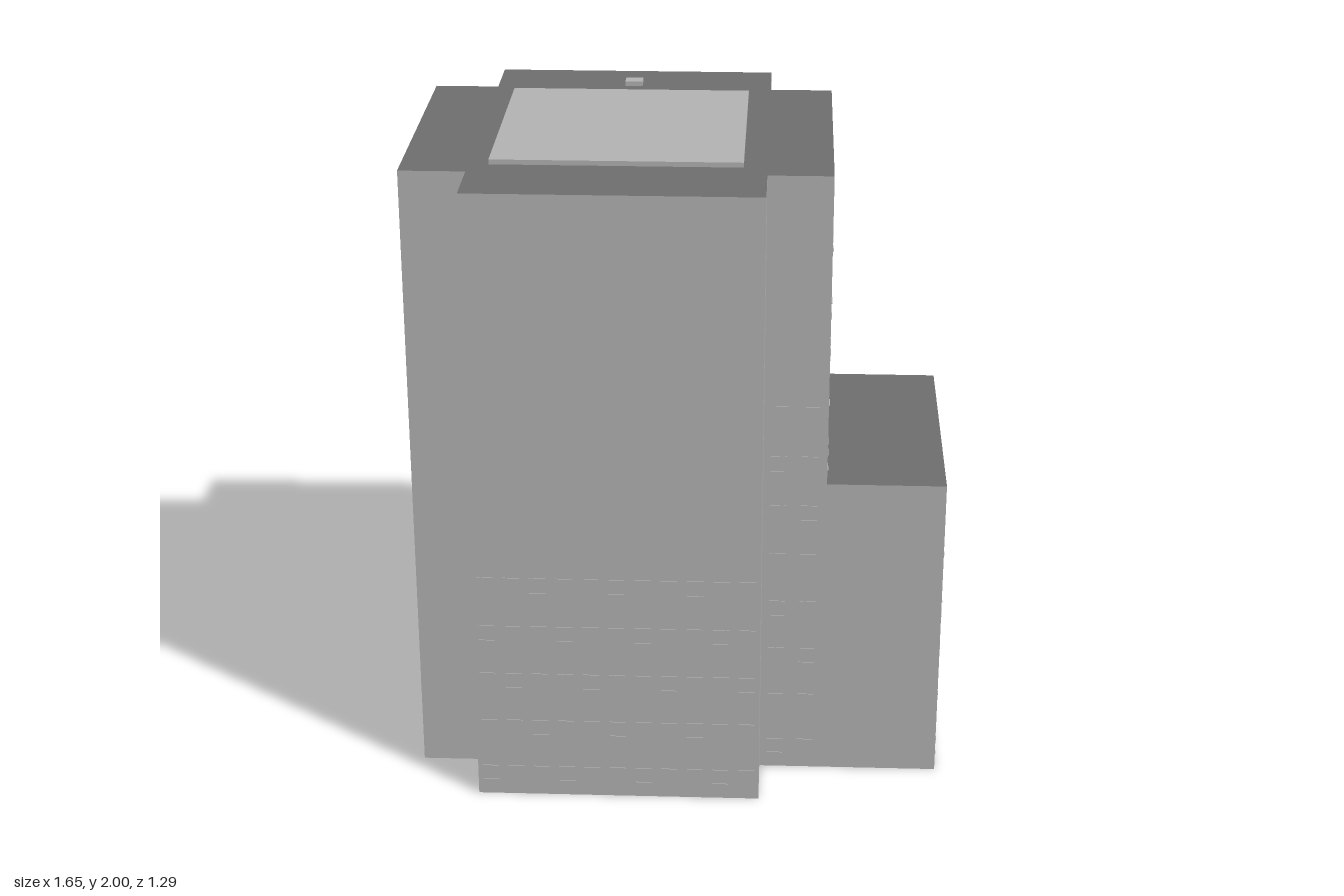
import * as THREE from 'three';
import { mergeGeometries } from 'three/addons/utils/BufferGeometryUtils.js';

const ROOF = 1.985, STEP = 1.0;

// Footprint corners as [x, z], running front-left round to the right and back
const footprint = (right) => [
  [-0.82, 0.44], [-0.62, 0.44], [-0.62, 0.64], [0.26, 0.64], [0.26, 0.44], [right, 0.44],
  [right, -0.44], [0.26, -0.44], [0.26, -0.64], [-0.62, -0.64], [-0.62, -0.44], [-0.82, -0.44],
];

// Open band of flat walls following a footprint
function wallGeometry(points, y0, y1) {
  const pos = [];
  points.forEach(([ax, az], i) => {
    const [bx, bz] = points[(i + 1) % points.length];
    pos.push(ax, y0, az, bx, y0, bz, bx, y1, bz, ax, y0, az, bx, y1, bz, ax, y1, az);
  });
  const g = new THREE.BufferGeometry();
  g.setAttribute('position', new THREE.Float32BufferAttribute(pos, 3));
  g.computeVertexNormals();
  return g;
}

// Flat upward-facing roof over a footprint
function roofGeometry(points, y) {
  const shape = new THREE.Shape(points.map(([x, z]) => new THREE.Vector2(x, -z)));
  return new THREE.ShapeGeometry(shape).rotateX(-Math.PI / 2).translate(0, y, 0);
}

// Rows of tiny sill strips on one wall running from a to b
function sillGeometry([ax, az], [bx, bz], y0, rows) {
  const strips = [];
  const length = Math.hypot(bx - ax, bz - az);
  const angle = Math.atan2(-(bz - az), bx - ax);
  const count = Math.floor(length / 0.075);
  for (let r = 0; r < rows; r++) {
    for (let i = 0; i < count; i++) {
      const t = (i + 0.5) / count;
      const place = (y) => strips.push(new THREE.BoxGeometry(0.05, 0.003, 0.006)
        .rotateY(angle).translate(ax + (bx - ax) * t, y, az + (bz - az) * t));
      place(y0 + r * 0.165);
      if ((i + r) % 3 === 0) place(y0 + r * 0.165 - 0.05); // sparse lower row
    }
  }
  return mergeGeometries(strips);
}

export function createModel() {
  const model = new THREE.Group();
  const wall = new THREE.MeshStandardMaterial({ color: 0xb2b2b2, side: THREE.DoubleSide });
  wall.name = 'light grey';
  const roof = new THREE.MeshStandardMaterial({ color: 0x6e6e6e, side: THREE.DoubleSide });
  roof.name = 'dark grey';

  const add = (name, geometry, material) => {
    const mesh = new THREE.Mesh(geometry, material);
    mesh.name = name;
    model.add(mesh);
  };
  const box = (name, x0, x1, z0, z1, y0, y1) => add(name,
    new THREE.BoxGeometry(x1 - x0, y1 - y0, z1 - z0)
      .translate((x0 + x1) / 2, (y0 + y1) / 2, (z0 + z1) / 2), wall);

  // Hollow shell, open underneath, with a lower wing on the left side
  add('lowerWalls', wallGeometry(footprint(0.82), 0, STEP), wall);
  add('towerWalls', wallGeometry(footprint(0.455), STEP, ROOF), wall);
  add('towerRoof', roofGeometry(footprint(0.455), ROOF), roof);
  add('wingRoof', roofGeometry([[0.455, 0.44], [0.82, 0.44], [0.82, -0.44], [0.455, -0.44]], STEP), roof);

  // Rooftop pad and vent
  box('roofPad', -0.56, 0.19, -0.375, 0.37, ROOF, 2);
  box('roofVent', -0.21, -0.155, -0.51, -0.465, ROOF, 2);

  // Sill rows: name, start, end, lowest height, row count
  [
    ['frontSills', [-0.62, 0.64], [0.26, 0.64], 0.1, 5],
    ['backSills', [0.26, -0.64], [-0.62, -0.64], 0.1, 5],
    ['rightSills', [-0.82, -0.44], [-0.82, 0.44], 0.1, 5],
    ['wingSills', [0.82, 0.44], [0.82, -0.44], 0.1, 5],
    ['towerSideSills', [0.455, 0.44], [0.455, -0.44], 1.09, 5],
    ['frontRecessSills', [0.26, 0.44], [0.45, 0.44], 0.1, 8],
  ].forEach(([name, a, b, y, rows]) => add(name, sillGeometry(a, b, y, rows), wall));

  return model;
}
